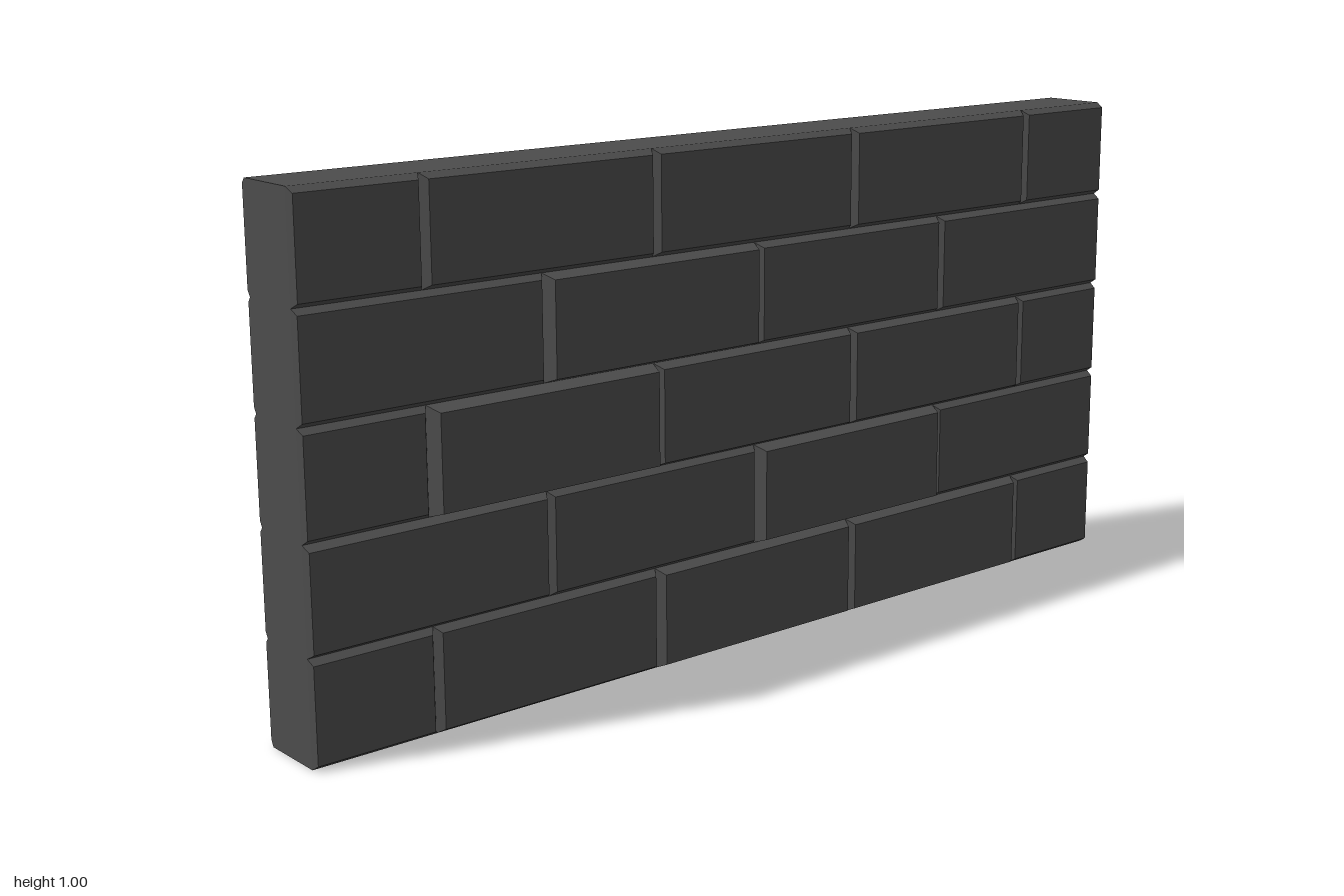
import * as THREE from 'three';

const BEVEL = 0.01, ROW = 0.2, CORE_FRONT = 0.068, CORE_BACK = 0.065;

// Brick joints: half-brick ends on even rows, whole bricks on odd rows
const evenJoints = [-1, -0.75, -0.25, 0.25, 0.75, 1];
const oddJoints = [-1, -0.5, 0, 0.5, 1];

// How far each brick face stands from z = 0, per row from the bottom, left to right in x
const frontDepths = [
  [0.083, 0.085, 0.091, 0.09, 0.083],
  [0.086, 0.083, 0.096, 0.083],
  [0.083, 0.1, 0.09, 0.088, 0.083],
  [0.083, 0.095, 0.087, 0.084],
  [0.086, 0.086, 0.085, 0.086, 0.084],
];
const backDepths = [
  [0.077, 0.1, 0.08, 0.078, 0.078],
  [0.077, 0.08, 0.078, 0.078],
  [0.077, 0.08, 0.1, 0.078, 0.078],
  [0.077, 0.082, 0.078, 0.077],
  [0.078, 0.1, 0.08, 0.078, 0.078],
];

// Box whose outer face is drawn in, giving bevelled edges
function brickGeometry(x0, x1, y0, inner, outer, side) {
  const g = new THREE.BoxGeometry(x1 - x0, ROW, outer - inner);
  const p = g.attributes.position;
  const left = x0 === -1 ? 0.003 : BEVEL;
  const right = x1 === 1 ? 0.003 : BEVEL;
  for (let i = 0; i < p.count; i++) {
    if (p.getZ(i) * side < 0) continue;
    p.setX(i, p.getX(i) + (p.getX(i) < 0 ? left : -right));
    p.setY(i, p.getY(i) - Math.sign(p.getY(i)) * BEVEL);
  }
  g.translate((x0 + x1) / 2, y0 + ROW / 2, side * (inner + outer) / 2);
  g.computeVertexNormals();
  return g;
}

export function createModel() {
  const wall = new THREE.Group();
  wall.name = 'brickWall';
  const stone = new THREE.MeshStandardMaterial({ color: 0x4c4c4c });
  stone.name = 'dark grey stone';

  // Solid slab behind the bricks
  const core = new THREE.Mesh(new THREE.BoxGeometry(2, 1, CORE_FRONT + CORE_BACK), stone);
  core.position.set(0, 0.5, (CORE_FRONT - CORE_BACK) / 2);
  core.name = 'wallCore';
  wall.add(core);

  // Brick courses on both faces
  const faces = [
    { name: 'front', side: 1, inner: CORE_FRONT, depths: frontDepths },
    { name: 'back', side: -1, inner: CORE_BACK, depths: backDepths },
  ];
  for (const { name, side, inner, depths } of faces) {
    const face = new THREE.Group();
    face.name = name + 'Bricks';
    depths.forEach((row, r) => {
      const joints = r % 2 ? oddJoints : evenJoints;
      row.forEach((outer, i) => {
        const brick = new THREE.Mesh(
          brickGeometry(joints[i], joints[i + 1], r * ROW, inner, outer, side), stone);
        brick.name = `${name}Brick_row${r + 1}_${i + 1}`;
        face.add(brick);
      });
    });
    wall.add(face);
  }
  return wall;
}
